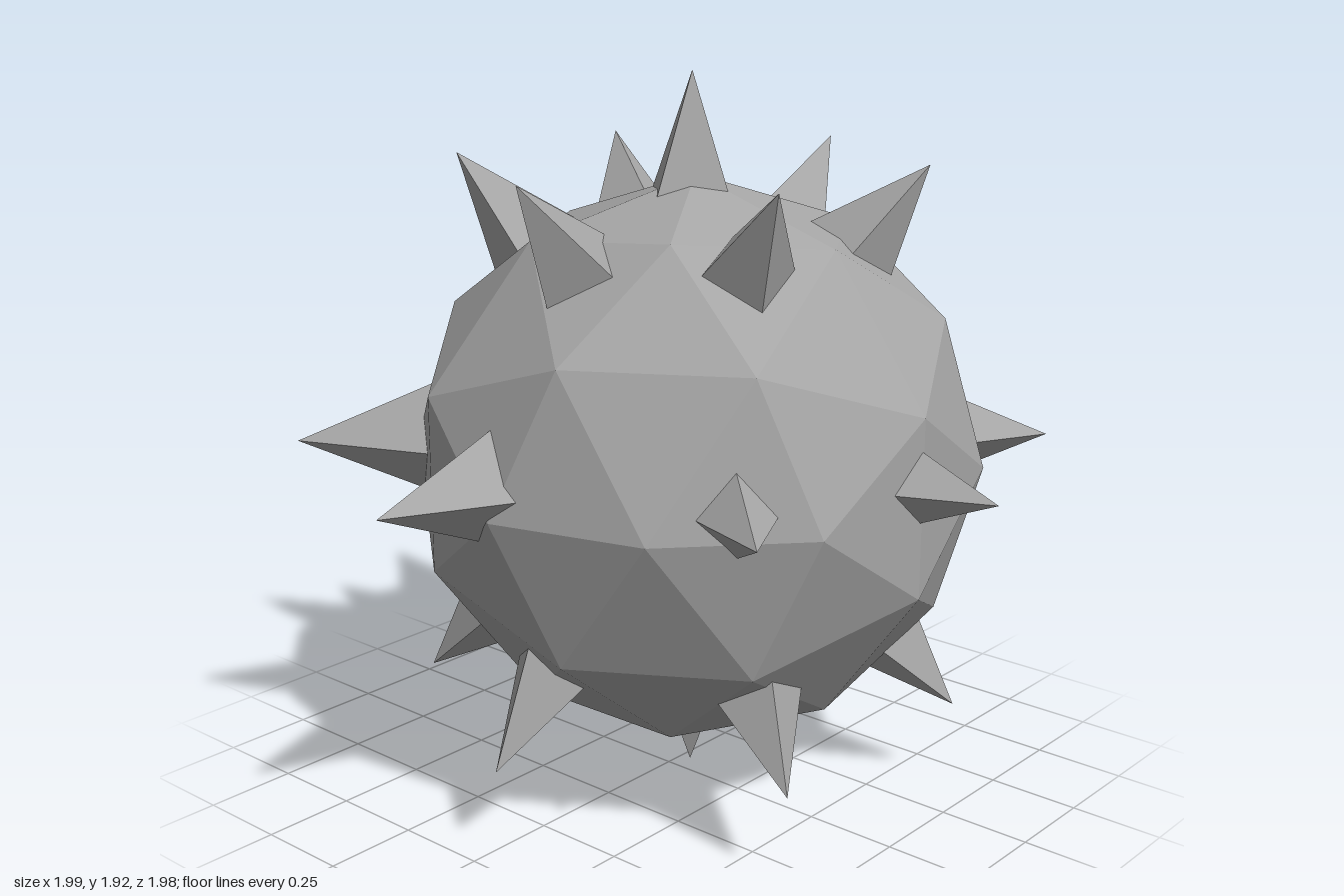
import * as THREE from 'three';

export function createModel() {
  const group = new THREE.Group();
  const grey = new THREE.MeshStandardMaterial({ color: 0xa6a6a6, flatShading: true });
  grey.name = 'grey';

  // faceted ball, turned about its upright axis
  const ballGeometry = new THREE.IcosahedronGeometry(0.767, 1);
  ballGeometry.rotateY(THREE.MathUtils.degToRad(-58.3));
  const ball = new THREE.Mesh(ballGeometry, grey);
  ball.name = 'ball';
  ball.scale.y = 0.985;
  ball.position.set(0.045, 0.906, -0.053);
  group.add(ball);

  // four-sided spikes, rooted inside the ball and pointing away from one centre
  const spikes = new THREE.Group();
  spikes.name = 'spikes';
  spikes.position.set(0.03, 0.965, -0.04);
  group.add(spikes);

  const root = 0.6;
  const slope = 0.42;
  function addSpike(name, azimuth, polar, reach) {
    const height = reach - root;
    const geometry = new THREE.ConeGeometry(height * slope, height, 4);
    geometry.translate(0, root + height / 2, 0);
    const spike = new THREE.Mesh(geometry, grey);
    spike.name = name;
    spike.rotation.set(
      THREE.MathUtils.degToRad(polar), THREE.MathUtils.degToRad(azimuth), 0, 'YXZ');
    spikes.add(spike);
  }

  addSpike('topSpike', 0, -1, 0.96);
  addSpike('bottomSpike', 0, 181, 0.96);

  // upper and lower rings of six
  for (let i = 0; i < 6; i++) {
    addSpike('upperSpike', i * 60, 40.1, 0.962);
    addSpike('lowerSpike', i * 60, 134.6, 1.032);
  }

  // middle ring: azimuth from the front, reach
  const middle = [
    [-3.9, 1.027], [49.7, 0.958], [90.6, 0.96], [130.6, 0.961],
    [171.5, 0.971], [-135, 1.032], [-94.2, 1.033], [-45, 1.032],
  ];
  for (const [azimuth, reach] of middle) addSpike('middleSpike', azimuth, 90, reach);

  return group;
}
